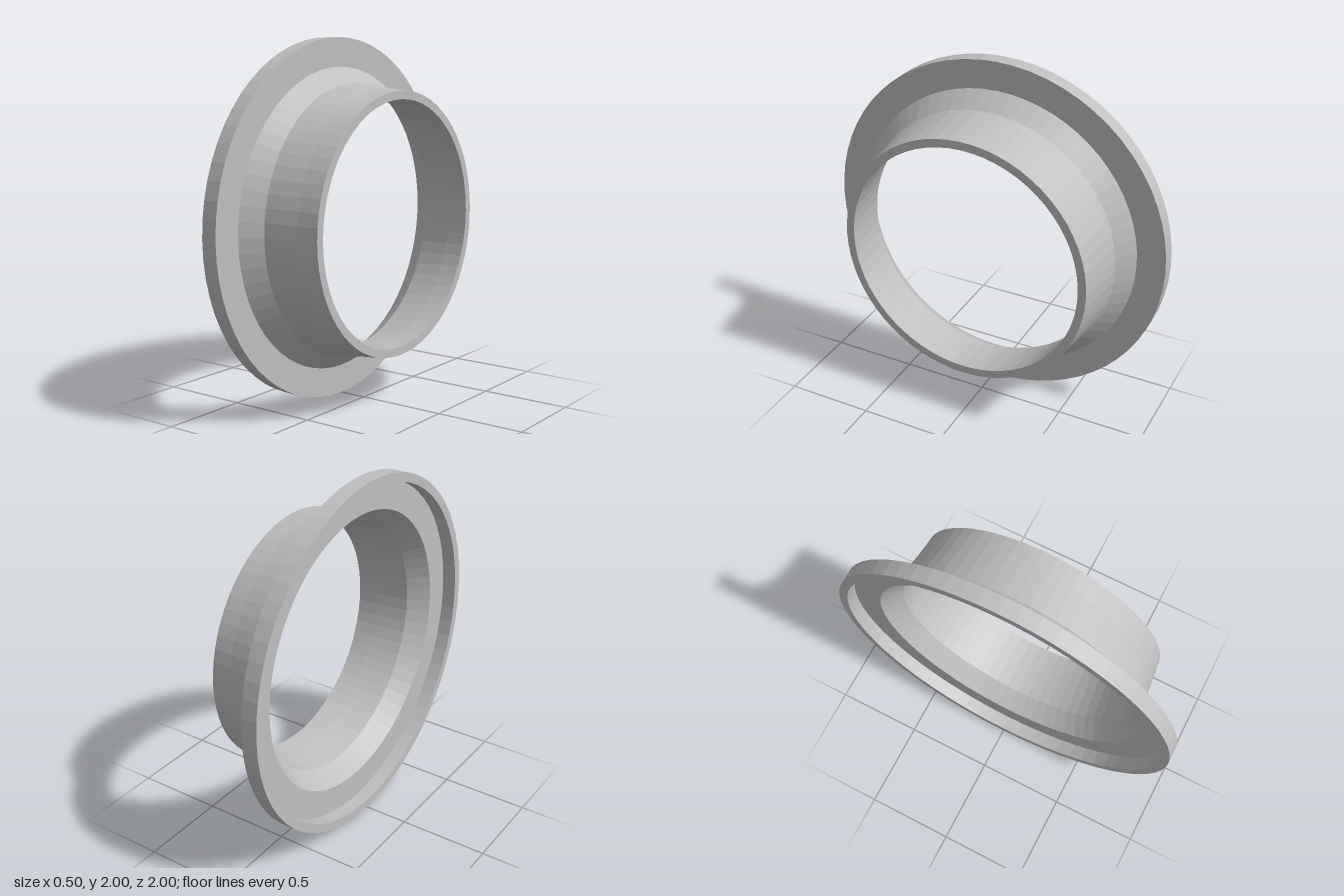
import * as THREE from 'three';

const SIDES = 64;

// Revolves a (radius, x) profile around the x axis, with faceted normals.
function ring(name, profile, material) {
  const points = profile.map(([r, x]) => new THREE.Vector2(r, x));
  const geometry = new THREE.LatheGeometry(points, SIDES)
    .rotateZ(-Math.PI / 2)
    .toNonIndexed();
  geometry.computeVertexNormals();
  const mesh = new THREE.Mesh(geometry, material);
  mesh.name = name;
  mesh.position.y = 1;
  return mesh;
}

export function createModel() {
  const grey = new THREE.MeshStandardMaterial({ color: 0xbfbfbf });
  grey.name = 'grey';

  const back = -0.248, front = 0.248;
  const flangeFront = -0.158, recessFloor = -0.168;

  const model = new THREE.Group();
  model.name = 'flangedCollar';

  // Wide flange with a raised rim around a recessed back
  model.add(ring('flange', [
    [0.79, recessFloor], [0.95, recessFloor], [0.95, back],
    [1, back], [1, flangeFront], [0.84, flangeFront],
  ], grey));

  // Hollow neck: flared cone at the flange, then a gently tapering tube
  model.add(ring('neck', [
    [0.84, flangeFront], [0.757, -0.058], [0.729, 0.13], [0.718, front],
    [0.672, front], [0.682, 0.13], [0.71, -0.058], [0.79, recessFloor],
  ], grey));

  return model;
}
